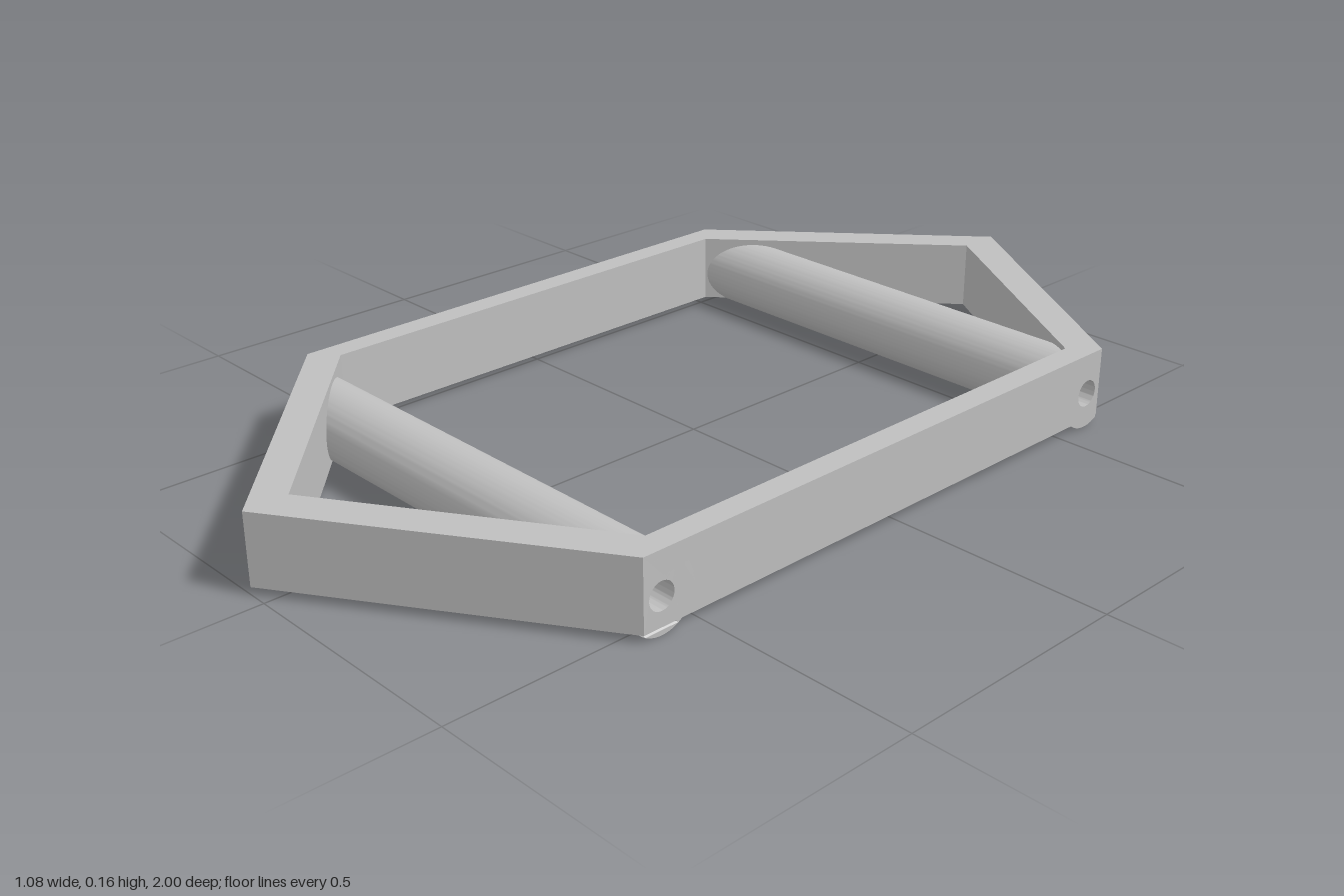
import * as THREE from 'three';
import { toCreasedNormals } from 'three/addons/utils/BufferGeometryUtils.js';

const BOTTOM = 0.015, TOP = 0.16;
const TUBE_Y = 0.074, TUBE_Z = 0.582, TUBE_R = 0.074, BORE_R = 0.028;

// Wall outlines as [z, x], back to front
const OUTER_RIGHT = [[-1, -0.04], [-0.55, -0.54], [0.55, -0.54], [1, -0.04]];
const OUTER_LEFT = [[-1, -0.04], [-0.622, 0.537], [0.622, 0.537], [1, -0.04]];
const INNER_RIGHT = [[-0.91, -0.04], [-0.505, -0.49], [0.505, -0.49], [0.91, -0.04]];
const INNER_LEFT = [[-0.91, -0.04], [-0.57, 0.485], [0.57, 0.485], [0.91, -0.04]];

// x of an outline at depth z
function xAt(line, z) {
  let i = 0;
  while (i < line.length - 2 && z > line[i + 1][0] + 1e-6) i++;
  const [z0, x0] = line[i], [z1, x1] = line[i + 1];
  return x0 + (x1 - x0) * (z - z0) / (z1 - z0);
}

function flip(geo) {
  geo.setIndex(Array.from(geo.index.array).reverse());
  geo.computeVertexNormals();
  return geo;
}

function rect(z0, y0, z1, y1) {
  return new THREE.Shape([[z0, y0], [z1, y0], [z1, y1], [z0, y1]].map(p => new THREE.Vector2(...p)));
}

// Lays a (z, y) shape onto one straight wall between points a and b
function wallPanel(shape, a, b, facesLeft) {
  const geo = new THREE.ShapeGeometry(shape, 32), pos = geo.attributes.position;
  for (let i = 0; i < pos.count; i++) {
    const z = pos.getX(i);
    pos.setXYZ(i, xAt([a, b], z), pos.getY(i), z);
  }
  geo.computeVertexNormals();
  return facesLeft ? flip(geo) : geo;
}

export function createModel() {
  const grey = new THREE.MeshStandardMaterial({ color: 0xbfbfbf, side: THREE.DoubleSide });
  grey.name = 'grey';
  const model = new THREE.Group();
  const frame = new THREE.Group();
  frame.name = 'frame';
  model.add(frame);
  const add = (parent, name, geo) => {
    const mesh = new THREE.Mesh(geo, grey);
    mesh.name = name;
    parent.add(mesh);
  };

  // Outer walls, with round openings where the bores come out
  for (const [line, facesLeft] of [[OUTER_RIGHT, false], [OUTER_LEFT, true]]) {
    for (let i = 0; i < 3; i++) {
      const a = line[i], b = line[i + 1];
      const shape = rect(a[0], BOTTOM, b[0], TOP);
      for (const z of [-TUBE_Z, TUBE_Z]) {
        if (z > a[0] && z < b[0]) shape.holes.push(new THREE.Path().absarc(z, TUBE_Y, BORE_R, 0, Math.PI * 2, true));
      }
      add(frame, 'outerWall', wallPanel(shape, a, b, facesLeft));
    }
  }

  // Inner walls, left open inside the tubes
  const gap = 0.034;
  for (const [line, facesLeft] of [[INNER_RIGHT, true], [INNER_LEFT, false]]) {
    for (let i = 0; i < 3; i++) {
      const a = line[i], b = line[i + 1];
      const cuts = [-TUBE_Z - gap, -TUBE_Z + gap, TUBE_Z - gap, TUBE_Z + gap].filter(z => z > a[0] && z < b[0]);
      const zs = [a[0], ...cuts, b[0]];
      for (let k = 0; k < zs.length - 1; k++) {
        const z0 = zs[k], z1 = zs[k + 1];
        const open = Math.abs(Math.abs((z0 + z1) / 2) - TUBE_Z) < gap;
        const spans = open ? [[BOTTOM, TUBE_Y - gap], [TUBE_Y + gap, TOP]] : [[BOTTOM, TOP]];
        for (const [y0, y1] of spans) add(frame, 'innerWall', wallPanel(rect(z0, y0, z1, y1), a, b, facesLeft));
      }
    }
  }

  // Top and bottom rims
  const loop = (l, r) => [...l, ...r.slice(1, 3).reverse()].map(([z, x]) => new THREE.Vector2(x, -z));
  const ring = new THREE.Shape(loop(OUTER_LEFT, OUTER_RIGHT));
  ring.holes.push(new THREE.Path(loop(INNER_LEFT, INNER_RIGHT)));
  const rim = y => new THREE.ShapeGeometry(ring).rotateX(-Math.PI / 2).translate(0, y, 0);
  add(frame, 'topRim', rim(TOP));
  add(frame, 'bottomRim', flip(rim(BOTTOM)));

  // Hollow cross tubes, their ends trimmed to the frame's outline
  const section = new THREE.Shape().absarc(0, 0, TUBE_R, 0, Math.PI * 2, false);
  section.holes.push(new THREE.Path().absarc(0, 0, BORE_R, 0, Math.PI * 2, true));
  for (const [name, z] of [['frontTube', TUBE_Z], ['backTube', -TUBE_Z]]) {
    const geo = new THREE.ExtrudeGeometry(section, { depth: 1, bevelEnabled: false, curveSegments: 48 });
    geo.rotateY(Math.PI / 2).translate(0, TUBE_Y, z);
    const pos = geo.attributes.position;
    for (let i = 0; i < pos.count; i++) {
      pos.setX(i, xAt(pos.getX(i) < 0.5 ? OUTER_RIGHT : OUTER_LEFT, pos.getZ(i)));
    }
    add(model, name, toCreasedNormals(geo, 0.5));
  }
  return model;
}
